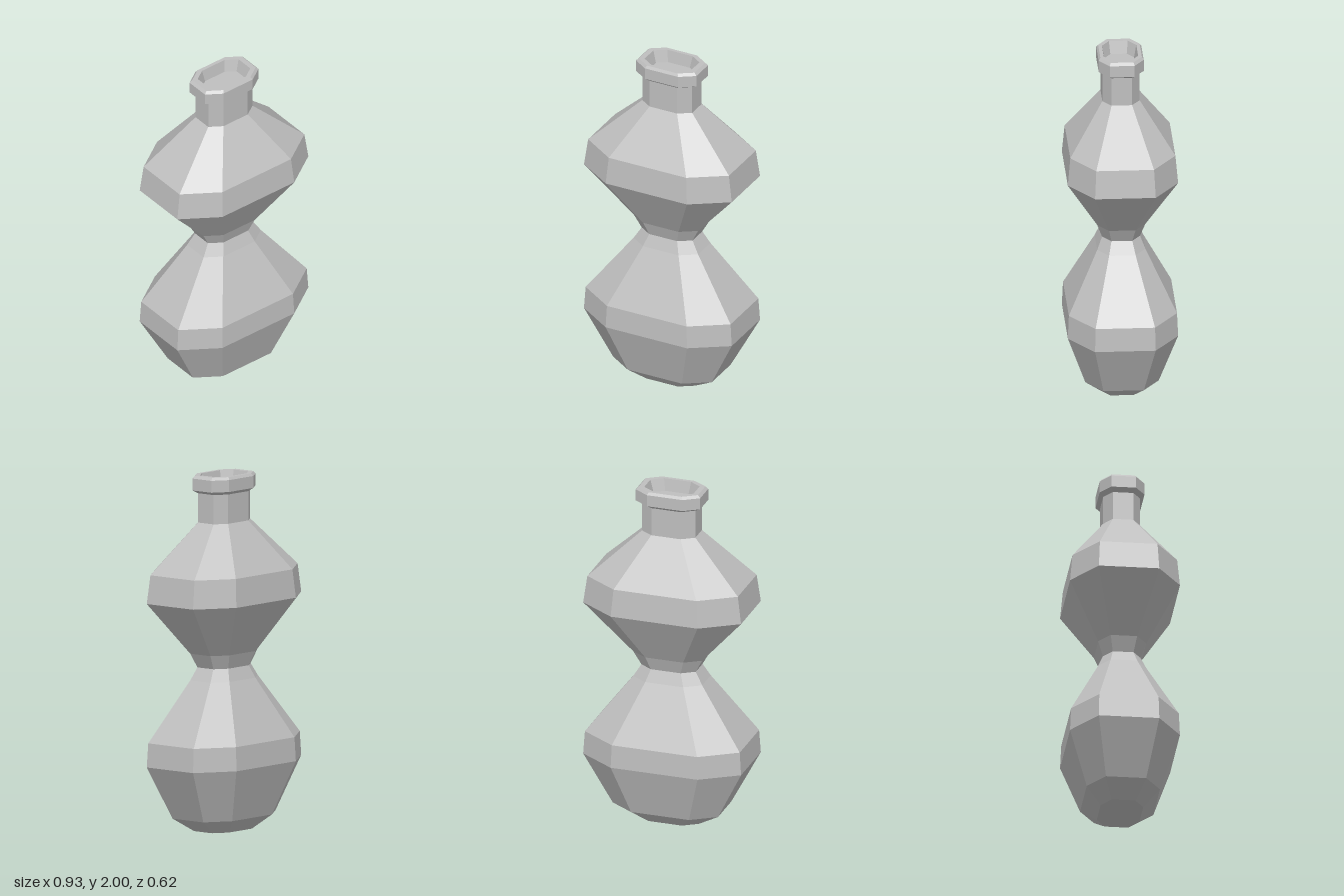
import * as THREE from 'three';

const DEPTH = 0.662; // depth of every section relative to its width
const CUT = 0.55;    // where the corner cut starts on each side

// Eight corners of a cut-corner rectangle at height y, half width r
function section(r, y) {
  return [[1, -CUT], [1, CUT], [CUT, 1], [-CUT, 1], [-1, CUT], [-1, -CUT], [-CUT, -1], [CUT, -1]]
    .map(([x, z]) => new THREE.Vector3(x * r, y, z * r * DEPTH));
}

// Faceted skin over a profile of [half width, height]; half width 0 closes an end
function loft(profile) {
  const rings = profile.map(([r, y]) => section(r, y));
  const points = [];
  for (let i = 0; i < rings.length - 1; i++) {
    for (let j = 0; j < 8; j++) {
      const k = (j + 1) % 8;
      const a = rings[i][j], b = rings[i][k], c = rings[i + 1][j], d = rings[i + 1][k];
      if (profile[i][0] > 0) points.push(a, c, b);
      if (profile[i + 1][0] > 0) points.push(c, d, b);
    }
  }
  const geometry = new THREE.BufferGeometry().setFromPoints(points);
  geometry.computeVertexNormals();
  return geometry;
}

export function createModel() {
  const group = new THREE.Group();
  group.name = 'gourdBottle';
  const grey = new THREE.MeshStandardMaterial({ color: 0xbfbfbf, flatShading: true });
  grey.name = 'grey';

  const parts = {
    // Closed base and lower bulb up to the waist
    lowerBulb: [[0, 0], [0.18, 0], [0.31, 0.08], [0.465, 0.38], [0.456, 0.515], [0.203, 0.85], [0.16, 0.92]],
    // Upper bulb from the waist to the shoulder
    upperBulb: [[0.16, 0.92], [0.203, 1.0], [0.465, 1.3], [0.443, 1.46], [0.157, 1.735]],
    neck: [[0.157, 1.735], [0.157, 1.9]],
    // Flared lip with a shallow recessed mouth
    lip: [[0.157, 1.9], [0.19, 1.918], [0.19, 1.985], [0.175, 2], [0.145, 2], [0.125, 1.93], [0, 1.93]],
  };
  for (const [name, profile] of Object.entries(parts)) {
    const mesh = new THREE.Mesh(loft(profile), grey);
    mesh.name = name;
    group.add(mesh);
  }
  return group;
}
